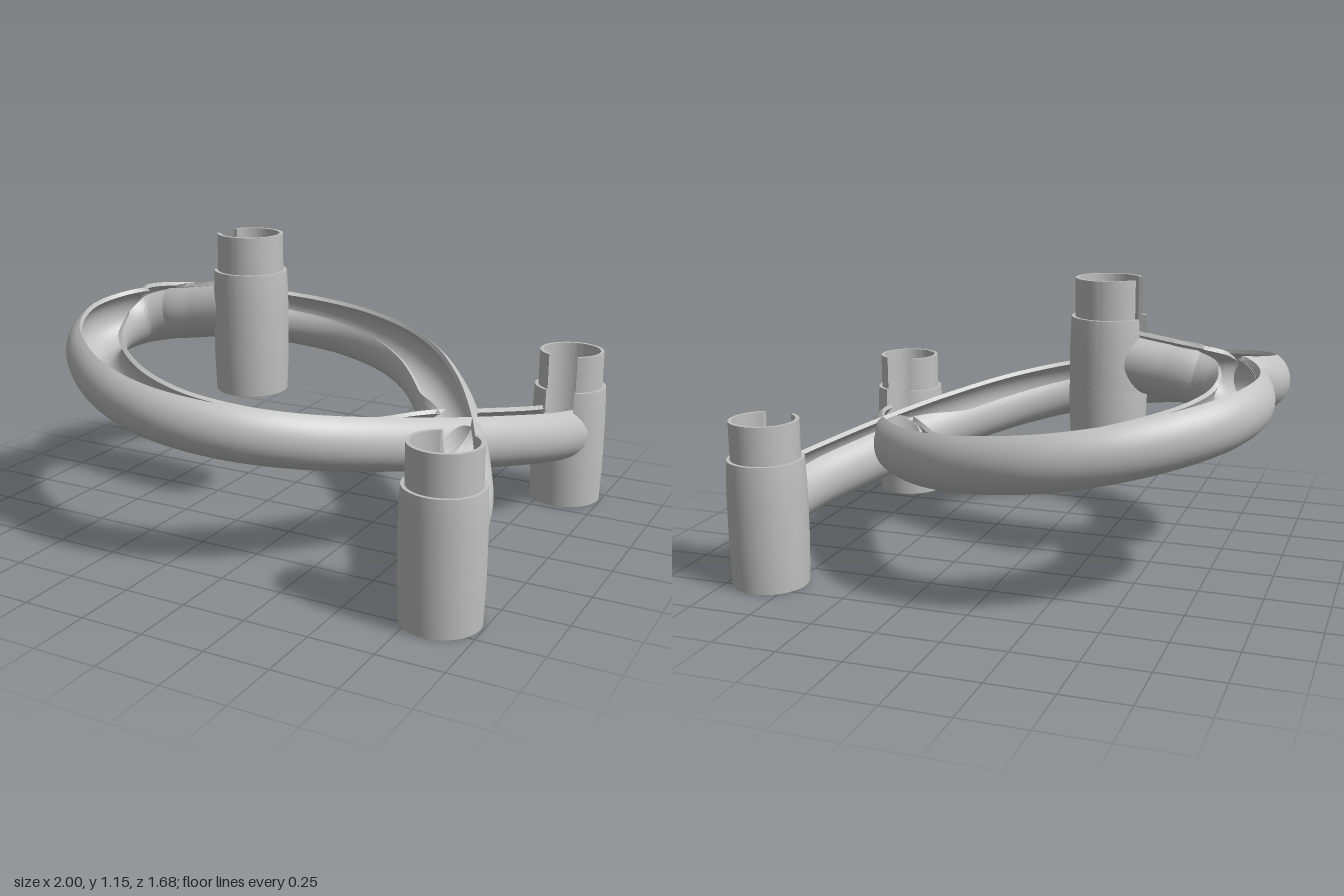
import * as THREE from 'three';
import { toCreasedNormals } from 'three/addons/utils/BufferGeometryUtils.js';

const R = 0.12, RI = 0.102;           // channel outer and inner radius
const BORE = 0.118;                   // tower bore
const SLOT = 0.06;                    // half width of the open slot
const UP = new THREE.Vector3(0, 1, 0);
const towers = { high: [-0.317, 0.5, 0], low: [0.843, 0, -0.675] };

// Skin closed loops into a surface, trimmed where field() is negative;
// side = -1 mirrors the result across z.
function loft(rows, field = () => 1, side = 1) {
  const out = [], tri = new THREE.Triangle();
  const add = (...corners) => {
    const poly = [];
    corners.forEach((a, i) => {
      const b = corners[(i + 1) % 3];
      if (a.h >= 0) poly.push(a.p);
      if (a.h >= 0 !== b.h >= 0) poly.push(a.p.clone().lerp(b.p, a.h / (a.h - b.h)));
    });
    for (let i = 1; i < poly.length - 1; i++) {
      const [p, q, r] = [poly[0], poly[i], poly[i + 1]];
      if (tri.set(p, q, r).getArea() < 1e-9) continue;
      for (const v of side > 0 ? [p, q, r] : [p, r, q]) out.push(v.x, v.y, v.z * side);
    }
  };
  const grid = rows.map(row => row.map(p => ({ p, h: field(p) })));
  for (let i = 0; i < grid.length - 1; i++) {
    const a = grid[i], b = grid[i + 1], n = a.length;
    for (let j = 0; j < n; j++) {
      const k = (j + 1) % n;
      add(a[j], a[k], b[j]);
      add(a[k], b[k], b[j]);
    }
  }
  const g = new THREE.BufferGeometry();
  g.setAttribute('position', new THREE.Float32BufferAttribute(out, 3));
  return toCreasedNormals(g, 0.6);
}

// Plan of one arm: leaves the high tower, rounds the ring, crosses over
const plan = new THREE.CatmullRomCurve3([
  [-0.39, 0], [-0.54, 0], [-0.68, 0], [-0.82, 0.06], [-0.88, 0.2], [-0.82, 0.385],
  [-0.67, 0.55], [-0.47, 0.672], [-0.24, 0.72], [0.01, 0.665], [0.22, 0.525],
  [0.42, 0.29], [0.6, 0], [0.71, -0.22], [0.8, -0.43], [0.843, -0.6],
].map(([x, z]) => new THREE.Vector3(x, 0, z)), false, 'centripetal');

// The track falls at a constant slope
const STEPS = 300, TOP = 0.835, DROP = 0.52, SLOPE = DROP / plan.getLength();
const frames = [];
for (let i = 0; i <= STEPS; i++) {
  const u = i / STEPS;
  const p = plan.getPointAt(u);
  p.y = TOP - DROP * u;
  const t = plan.getTangentAt(u);
  t.y = -SLOPE;
  t.normalize();
  const out = t.clone().cross(UP).normalize();
  const up = out.clone().cross(t).normalize();
  // the inner lip opens wider around the ring
  const wide = THREE.MathUtils.smoothstep(u, 0.08, 0.22) * (1 - THREE.MathUtils.smoothstep(u, 0.7, 0.8));
  frames.push({ p, out, up, lipOut: 0.53, lipIn: 0.53 + 0.54 * wide });
}

function cSection(f, ro, ri, n = 34) {
  const loop = [];
  const a0 = f.lipOut, a1 = Math.PI * 2 - f.lipIn;
  const put = (r, k) => {
    const a = a0 + (a1 - a0) * k / n;
    loop.push(f.p.clone().addScaledVector(f.out, r * Math.sin(a)).addScaledVector(f.up, r * Math.cos(a)));
  };
  for (let k = 0; k <= n; k++) put(ro, k);
  for (let k = n; k >= 0; k--) put(ri, k);
  return loop;
}

// Negative where the mirrored arm or a tower bore needs clear space
function clearance(c) {
  let h = Infinity;
  for (const [x, , z] of Object.values(towers)) h = Math.min(h, Math.hypot(c.x - x, c.z - z) - BORE);
  const q = new THREE.Vector3(c.x, c.y, -c.z);
  let best = frames[0], d2 = Infinity;
  for (const f of frames) {
    const d = f.p.distanceToSquared(q);
    if (d < d2) { d2 = d; best = f; }
  }
  if (d2 < 0.026) {
    q.sub(best.p);
    const x = q.dot(best.out), y = q.dot(best.up), d = Math.hypot(x, y);
    h = Math.min(h, d - RI + 0.0015);
    // at the fork the open slot is cleared too
    if (best.p.x < 0) {
      const a = Math.atan2(x, y);
      h = Math.min(h, Math.max(d * Math.max(a - best.lipOut, -best.lipIn - a) + 0.0015, d - 0.14));
    }
  }
  return h;
}

function channel(side) {
  const mid = (R + RI) / 2;
  const rows = [cSection(frames[0], mid, mid), ...frames.map(f => cSection(f, R, RI)),
    cSection(frames[STEPS], mid, mid)];
  return loft(rows, clearance, side);
}

// Hollow tower with a slotted neck and a round channel inlet; slot faces +z
function tower(n = 64) {
  const yc = 0.32;
  const ring = (y, ro, ri) => {
    const dy = y - yc;
    let w = Math.abs(dy) < RI ? Math.sqrt(RI * RI - dy * dy) : 0;
    if (dy > 0) w = Math.max(w, SLOT);
    const loop = [];
    const put = (r, k) => {
      const f = Math.asin(w / r), a = f + (2 * Math.PI - 2 * f) * k / n;
      loop.push(new THREE.Vector3(r * Math.sin(a), y, r * Math.cos(a)));
    };
    for (let k = 0; k <= n; k++) put(ro, k);
    for (let k = n; k >= 0; k--) put(ri, k);
    return loop;
  };
  const bodyR = y => 0.153 - 0.006 * Math.pow(Math.abs(y - 0.25) / 0.25, 3);
  const rows = [ring(0, 0.14, 0.14), ring(0, 0.147, 0.134), ring(0.15, bodyR(0.15), 0.134)];
  for (let y = 0.16; y < 0.495; y += 0.01) rows.push(ring(y, bodyR(y), BORE));
  rows.push(ring(0.5, 0.147, BORE), ring(0.5, 0.133, BORE), ring(0.65, 0.133, BORE), ring(0.65, 0.125, 0.125));
  return loft(rows);
}

export function createModel() {
  const model = new THREE.Group();
  model.name = 'marbleTrack';
  const grey = new THREE.MeshStandardMaterial({ color: 0xc0c0c0, side: THREE.DoubleSide });
  grey.name = 'grey';
  const add = (name, geometry) => {
    const m = new THREE.Mesh(geometry, grey);
    m.name = name;
    model.add(m);
    return m;
  };

  // Mirrored channels
  add('leftChannel', channel(1));
  add('rightChannel', channel(-1));

  // Towers, each slot turned towards its channel
  const g = tower();
  const high = add('highTower', g);
  high.position.set(...towers.high);
  high.rotation.y = -Math.PI / 2;
  for (const s of [1, -1]) {
    const low = add(s > 0 ? 'leftLowTower' : 'rightLowTower', g);
    low.position.set(towers.low[0], 0, 0.675 * s);
    low.rotation.y = s > 0 ? Math.PI : 0;
  }

  // Sloping floor that sends the ball out of the high tower
  const floor = new THREE.CircleGeometry(0.12, 48).rotateX(-Math.PI / 2);
  const pos = floor.attributes.position;
  for (let i = 0; i < pos.count; i++)
    pos.setY(i, 0.5 * (pos.getX(i) + 0.12) + 0.2 * Math.abs(pos.getZ(i)));
  floor.computeVertexNormals();
  add('towerFloor', floor).position.set(-0.317, 0.725, 0);

  return model;
}
